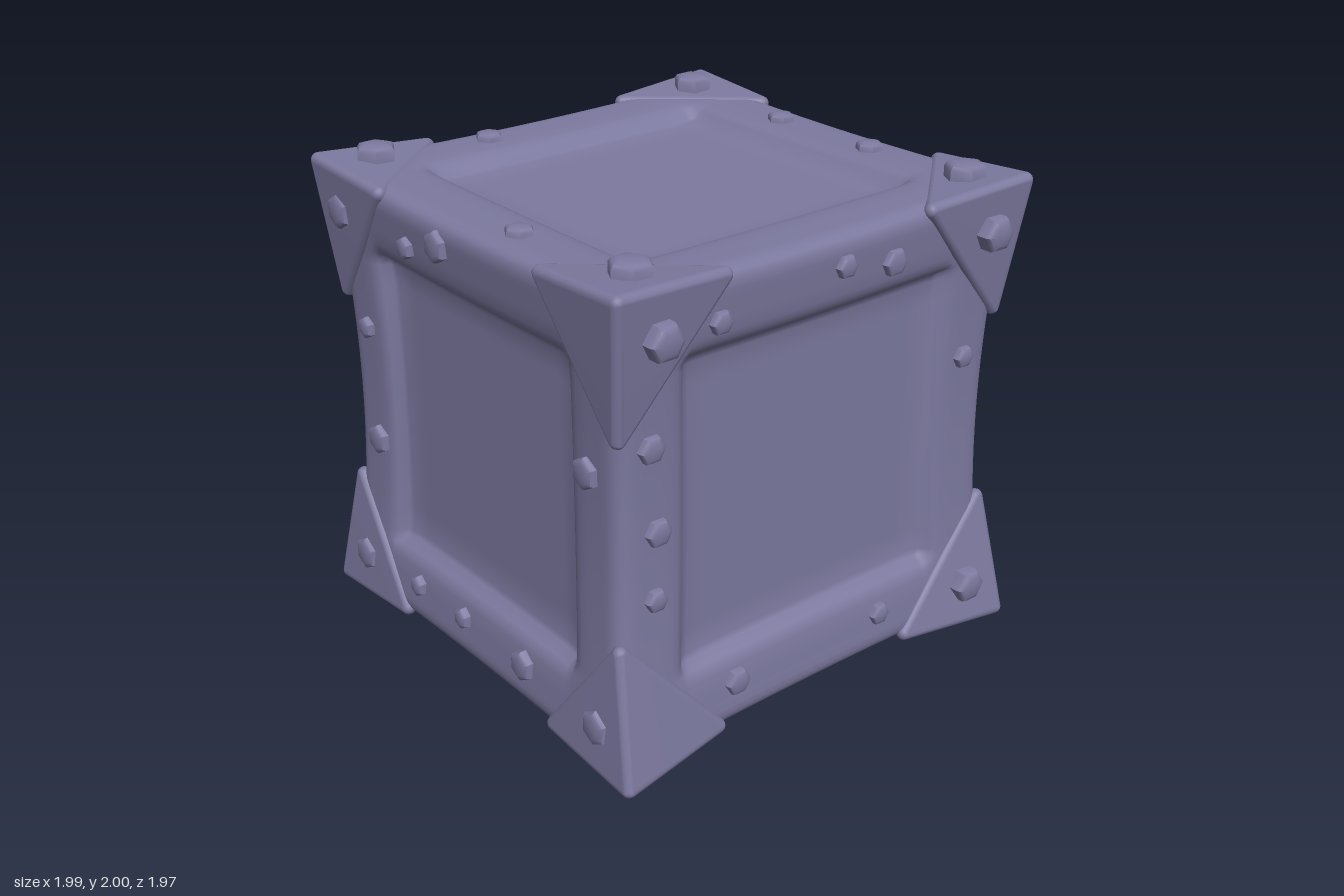
import * as THREE from 'three';
import { mergeGeometries, mergeVertices, toCreasedNormals } from 'three/addons/utils/BufferGeometryUtils.js';
import { ConvexGeometry } from 'three/addons/geometries/ConvexGeometry.js';

const MID = 1.015;                                   // height of the crate's centre
const HALF = new THREE.Vector3(0.915, 0.925, 0.96);  // half sizes before pinching
const PANEL = new THREE.Vector3(0.815, 0.835, 0.85); // distance of the flat panels from the centre
const ROUND = 0.08;
const AXES = ['x', 'y', 'z'];
const SIGNS = [-1, 1];

const ramp = t => THREE.MathUtils.smoothstep(t, 0, 1);
// Rail profile: a soft shoulder, a steep inner wall and a soft foot
const drop = t => 0.4 * ramp((0.8 - t) / 0.26) + 0.6 * ramp((0.7 - t) / 0.045);

// Maps a point of the cube (k is the face axis) to the rounded, pinched, recessed crate
function surface(q, k) {
  const inner = q.clone().clampScalar(-1 + ROUND, 1 - ROUND);
  const p = q.clone().sub(inner).normalize().multiplyScalar(ROUND).add(inner);
  const { x, y, z } = q;
  const waist = 1 - 0.055 * (1 - y * y);
  const sag = 1 - 0.025 * (1 - x * x * z * z);
  p.set(p.x * HALF.x * waist, p.y * HALF.y * sag, p.z * HALF.z * waist);
  const [a, b] = AXES.filter(n => n !== k);
  const dent = drop(Math.abs(q[a])) * drop(Math.abs(q[b]));
  p[k] = THREE.MathUtils.lerp(p[k], Math.sign(q[k]) * PANEL[k], dent);
  return p;
}

function smoothed(geo) {
  geo.deleteAttribute('normal');
  geo.deleteAttribute('uv');
  const g = mergeVertices(geo, 1e-4);
  g.computeVertexNormals();
  return g;
}

// All six framed sides as one smooth skin
function bodyGeometry() {
  const faces = [];
  for (const k of AXES) for (const side of SIGNS) {
    const g = new THREE.PlaneGeometry(2, 2, 70, 70).translate(0, 0, 1);
    if (k === 'x') g.rotateY(side * Math.PI / 2);
    if (k === 'y') g.rotateX(-side * Math.PI / 2);
    if (k === 'z' && side < 0) g.rotateY(Math.PI);
    const pos = g.attributes.position, q = new THREE.Vector3();
    for (let j = 0; j < pos.count; j++) {
      const p = surface(q.fromBufferAttribute(pos, j).clampScalar(-1, 1), k);
      pos.setXYZ(j, p.x, p.y, p.z);
    }
    faces.push(g);
  }
  return smoothed(mergeGeometries(faces));
}

// Corner guard: hull of four small balls at the corner and along its three edges
function guardGeometry(sx, sy, sz) {
  const r = 0.03, points = [];
  const ends = [
    [sy > 0 ? 0.96 : 0.995, 0.945, 0.983],
    [0.54, 0.918, 0.972],
    [0.89, sy > 0 ? 0.43 : 0.455, 0.935],
    [0.93, 0.918, 0.52],
  ];
  const ball = new THREE.IcosahedronGeometry(r, 2).attributes.position;
  for (const [x, y, z] of ends) {
    const centre = new THREE.Vector3(sx * (x - r), sy * (y - r), sz * (z - r));
    for (let i = 0; i < ball.count; i++) points.push(new THREE.Vector3().fromBufferAttribute(ball, i).add(centre));
  }
  return smoothed(new ConvexGeometry(points));
}

// Six-sided bolt head of unit radius and height, on y = 0
function boltGeometry() {
  const profile = [[1, -0.8], [1, 0.5], [0.88, 0.8], [0.6, 0.97], [0, 1]].map(p => new THREE.Vector2(...p));
  return toCreasedNormals(new THREE.LatheGeometry(profile, 6), 0.75);
}

export function createModel() {
  const metal = new THREE.MeshStandardMaterial({ color: 0x7c799f });
  metal.name = 'dusty violet';
  const model = new THREE.Group();
  model.name = 'crate';
  const crate = new THREE.Group();
  crate.name = 'crateParts';
  crate.position.y = MID;
  model.add(crate);
  const add = (name, geo) => {
    const mesh = new THREE.Mesh(geo, metal);
    mesh.name = name;
    crate.add(mesh);
    return mesh;
  };

  // Framed body
  add('body', bodyGeometry());

  // Corner guards
  for (const sx of SIGNS) for (const sy of SIGNS) for (const sz of SIGNS)
    add('cornerGuard', guardGeometry(sx, sy, sz));

  // Bolt head at a point, facing along axis k
  const head = boltGeometry(), up = new THREE.Vector3(0, 1, 0);
  const addBolt = (name, k, side, at, r, height) => {
    const normal = new THREE.Vector3();
    normal[k] = side;
    const bolt = add(name, head);
    bolt.position.copy(at);
    bolt.quaternion.setFromUnitVectors(up, normal);
    bolt.scale.set(r, height, r);
  };

  // One bolt on each side of every corner guard; two are missing
  for (const k of AXES) for (const side of SIGNS) for (const s of SIGNS) for (const t of SIGNS) {
    const [m, n] = AXES.filter(c => c !== k);
    const at = new THREE.Vector3();
    at[k] = side * 0.94;
    at[m] = s * (m === 'y' ? 0.75 : 0.785);
    at[n] = t * (n === 'y' ? 0.75 : 0.785);
    const missing = (k === 'z' && at.x > 0 && at.y > 0 && at.z > 0) || (k === 'x' && at.x > 0 && at.y < 0 && at.z > 0);
    const height = k === 'y' ? (side > 0 ? 0.045 : 0.073) : k === 'z' ? 0.045 : 0.055;
    if (!missing) addBolt('cornerBolt', k, side, at, k === 'y' ? 0.08 : 0.072, height);
  }

  // Rail bolts of one side and size: z sides list x,y; x sides list z,y; y sides list x,z
  const addRailBolts = (k, side, r, places) => {
    for (const [a, b] of places) {
      const at = new THREE.Vector3(a, b - MID, 0);
      if (k === 'x') at.set(0, b - MID, a);
      if (k === 'y') at.set(a, 0, b);
      const q = at.clone().divide(HALF);
      q[k] = side;
      at[k] = surface(q, k)[k];
      addBolt('railBolt', k, side, at, r, 0.034);
    }
  };
  addRailBolts('z', 1, 0.062, [[-0.11, 1.815], [-0.69, 0.82], [0.7, 1.235], [0.32, 0.28]]);
  addRailBolts('z', 1, 0.044, [[-0.33, 1.745], [-0.71, 1.3], [-0.4, 0.285], [-0.08, 0.29]]);
  addRailBolts('x', 1, 0.054, [[-0.305, 1.755], [0.78, 1.35], [0.745, 1.02], [0.4, 0.285]]);
  addRailBolts('x', 1, 0.045, [[0.505, 1.74], [-0.06, 1.8], [0.76, 0.76], [-0.745, 1.255], [-0.33, 0.285]]);
  addRailBolts('y', 1, 0.055, [[-0.235, -0.8], [0.275, -0.8], [-0.77, 0.28], [0.2, 0.81]]);
  addRailBolts('z', -1, 0.058, [[0.72, 0.9], [-0.74, 0.89], [0.4, 0.285]]);
  addRailBolts('z', -1, 0.046, [[0.3, 1.78], [0.72, 1.3], [0, 0.285], [-0.42, 0.285]]);
  addRailBolts('x', -1, 0.052, [[-0.27, 1.8], [-0.75, 1.33], [-0.75, 1.06], [-0.75, 0.79], [0.71, 1.06]]);
  addRailBolts('x', -1, 0.047, [[0.38, 1.8], [0.72, 1.36], [0.33, 0.285], [-0.22, 0.285]]);
  addRailBolts('y', -1, 0.052, [[-0.23, 0.8], [0.24, -0.8], [0.8, -0.28], [-0.79, 0.1]]);
  return model;
}
